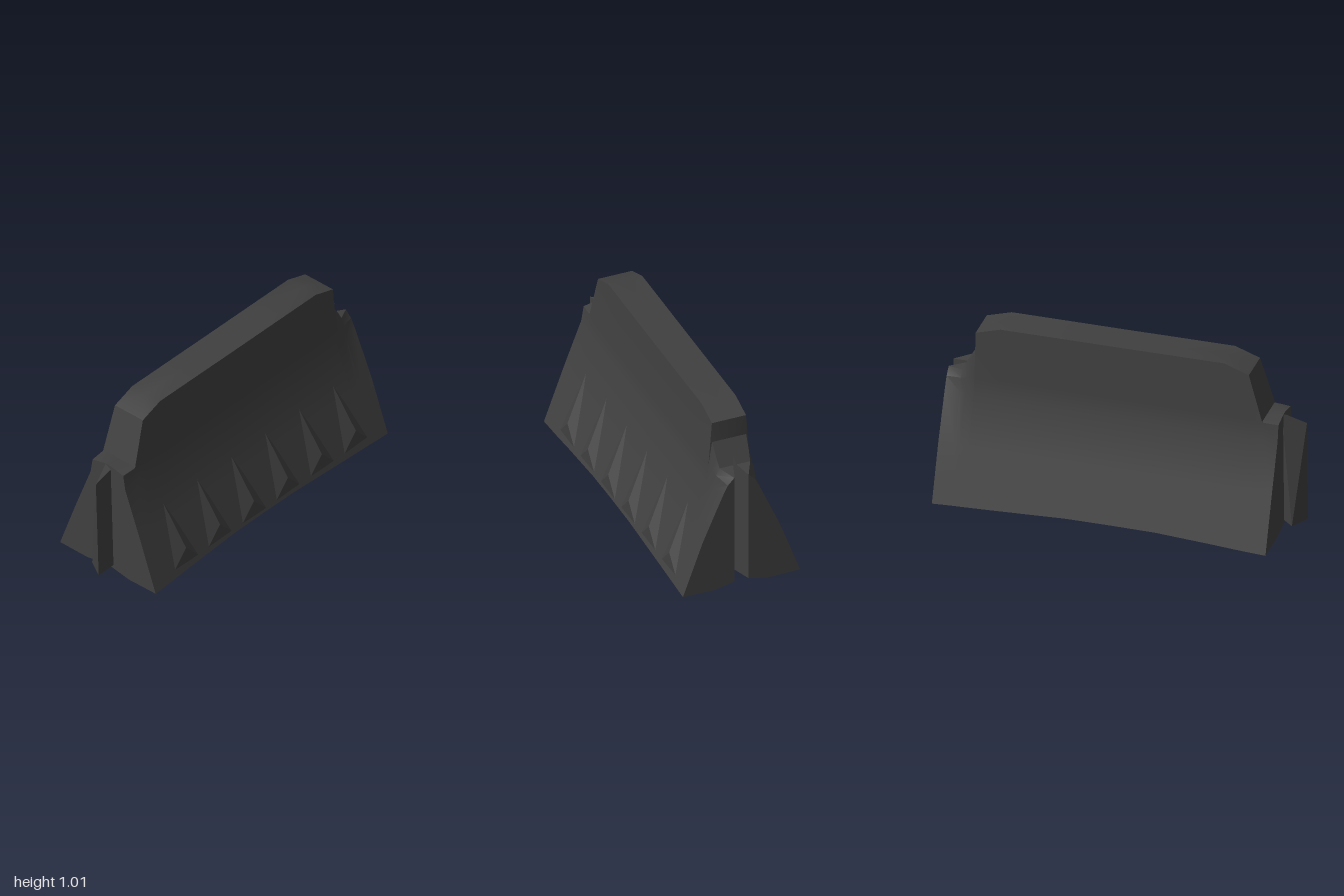
import * as THREE from 'three';
import { toCreasedNormals } from 'three/addons/utils/BufferGeometryUtils.js';
import { ConvexGeometry } from 'three/addons/geometries/ConvexGeometry.js';

const material = new THREE.MeshStandardMaterial({ color: 0x404040 });

// Collects triangles, skipping collapsed ones.
function meshFrom(name, triangles, crease) {
  const pos = [];
  const area = new THREE.Triangle();
  for (const [a, b, c] of triangles) {
    area.a.set(...a); area.b.set(...b); area.c.set(...c);
    if (area.getArea() > 1e-7) pos.push(...a, ...b, ...c);
  }
  const g = new THREE.BufferGeometry();
  g.setAttribute('position', new THREE.Float32BufferAttribute(pos, 3));
  const mesh = new THREE.Mesh(toCreasedNormals(g, crease), material);
  mesh.name = name;
  return mesh;
}

// Stations along the barrier, front to back:
// z, half width at foot, foot height, underside centre height,
// shoulder x, shoulder y, top x, top y, inner x (opens the rear groove)
const stations = [
  [0.88, 0.343, 0.01, 0.035, 0.11, 0.69, 0.02, 0.71, 0],
  [0.79, 0.341, 0.013, 0.035, 0.115, 0.695, 0.1, 0.7, 0],
  [0.71, 0.34, 0.017, 0.033, 0.12, 0.7, 0.1, 0.965, 0],
  [0.57, 0.336, 0.024, 0.028, 0.12, 0.7, 0.1, 1.015, 0],
  [0.25, 0.332, 0.04, 0.018, 0.12, 0.7, 0.1, 1.013, 0],
  [0, 0.33, 0.04, 0.004, 0.12, 0.7, 0.1, 1.011, 0],
  [-0.25, 0.332, 0.04, 0.018, 0.12, 0.7, 0.1, 1.01, 0],
  [-0.69, 0.337, 0.022, 0.03, 0.12, 0.7, 0.1, 1.008, 0],
  [-0.83, 0.34, 0.018, 0.033, 0.12, 0.7, 0.1, 0.965, 0],
  [-0.832, 0.34, 0.018, 0.033, 0.12, 0.7, 0.1, 0.845, 0],
  [-0.88, 0.341, 0.017, 0.035, 0.115, 0.69, 0.095, 0.77, 0],
  [-0.91, 0.342, 0.016, 0.035, 0.11, 0.68, 0.09, 0.72, 0.01],
  [-1, 0.343, 0.012, 0.035, 0.08, 0.66, 0.042, 0.7, 0.04],
];

// Half cross-section, counter-clockwise seen from the front.
function halfSection([z, w, foot, mid, sx, sy, tx, ty, inner]) {
  const slope = (y) => w + (0.13 - w) * (y - foot) / (0.6 - foot);
  return [
    [inner, mid], [0.08, mid], [0.15, foot * 0.8], [w, foot],
    [slope(0.155), 0.155], [slope(0.33), 0.33], [0.13 - (0.12 - sx) * 0.5, 0.6],
    [sx, sy], [tx, ty], [inner, ty],
  ].map(([x, y]) => [x, y, z]);
}

// Flared body, made as two mirrored halves sharing the centre plane.
function body() {
  const rings = stations.map(halfSection);
  const half = [];
  const n = rings[0].length;
  for (let s = 0; s < rings.length - 1; s++) {
    const f = rings[s], b = rings[s + 1];
    const open = stations[s][8] + stations[s + 1][8] > 0;
    for (let i = 0; i < (open ? n : n - 1); i++) {
      const j = (i + 1) % n;
      half.push([f[i], b[i], b[j]], [f[i], b[j], f[j]]);
    }
  }
  const front = rings[0], back = rings[rings.length - 1];
  for (let i = 1; i < n - 1; i++) {
    half.push([front[0], front[i], front[i + 1]], [back[0], back[i + 1], back[i]]);
  }
  const flip = ([x, y, z]) => [-x, y, z];
  const other = half.map(([a, b, c]) => [flip(a), flip(c), flip(b)]);
  return meshFrom('barrierBody', [...half, ...other], 0.4);
}

// Small sharp flare standing out of the left slope.
function flare(z) {
  const tip = [0.322, 0.155, z];
  const rim = [
    [0.185, 0.44, z + 0.045], [0.325, 0.04, z + 0.11],
    [0.325, 0.04, z - 0.11], [0.222, 0.33, z - 0.005],
  ];
  return meshFrom('slopeFlare', rim.map((p, i) => [tip, p, rim[(i + 1) % 4]]), 0.3);
}

// Interlocking tongue on the front end.
function tongue() {
  const corners = [
    [-0.02, 0.713, 0.87], [0.02, 0.655, 1], [0.04, 0.05, 1], [-0.06, 0.05, 0.94],
    [0.04, 0.05, 0.87], [0, 0.05, 0.87], [0.02, 0.69, 0.87],
  ];
  const mesh = new THREE.Mesh(
    new ConvexGeometry(corners.map((p) => new THREE.Vector3(...p))), material);
  mesh.name = 'frontTongue';
  return mesh;
}

export function createModel() {
  const group = new THREE.Group();
  group.name = 'roadBarrier';
  group.add(body(), tongue());
  for (let i = 0; i < 6; i++) group.add(flare(0.61 - i * 0.275));
  return group;
}
